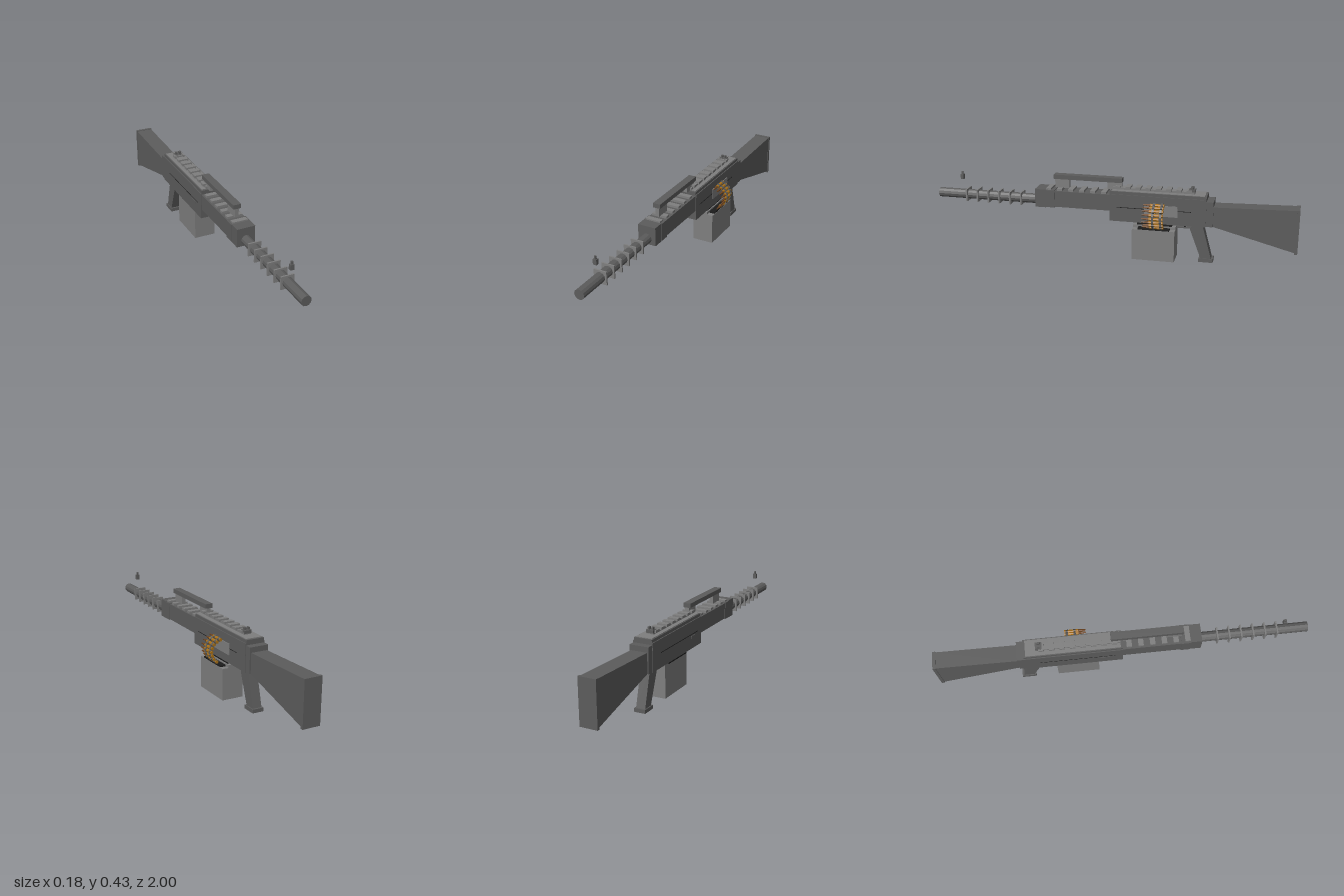
import * as THREE from 'three';

const CX = -0.035; // centre line of the body

export function createModel() {
  const root = new THREE.Group();
  root.name = 'beltFedGun';
  const material = (name, color) => {
    const m = new THREE.MeshStandardMaterial({ color, flatShading: true });
    m.name = name;
    return m;
  };
  const dark = material('darkGrey', 0x5c5c5c);
  const light = material('lightGrey', 0x7e7e7e);
  const black = material('black', 0x1c1c1c);
  const brass = material('brass', 0xa87018);
  const copper = material('copper', 0x6e4420);

  const add = (name, geo, mat, parent = root) => {
    const mesh = new THREE.Mesh(geo, mat);
    mesh.name = name;
    parent.add(mesh);
    return mesh;
  };
  // Box given by its limits on each axis
  const box = (name, mat, x0, x1, y0, y1, z0, z1, parent = root) => {
    const mesh = add(name, new THREE.BoxGeometry(x1 - x0, y1 - y0, z1 - z0), mat, parent);
    mesh.position.set((x0 + x1) / 2, (y0 + y1) / 2, (z0 + z1) / 2);
    return mesh;
  };
  // Box centred on the body's centre line
  const mid = (name, mat, w, y0, y1, z0, z1, parent = root) =>
    box(name, mat, CX - w / 2, CX + w / 2, y0, y1, z0, z1, parent);
  // Side profile given as [z, y] points, extruded across x
  const profile = (name, mat, w, pts) => {
    const shape = new THREE.Shape(pts.map(([z, y]) => new THREE.Vector2(-z, y)));
    const geo = new THREE.ExtrudeGeometry(shape, { depth: w, bevelEnabled: false });
    geo.translate(0, 0, -w / 2).rotateY(Math.PI / 2);
    const mesh = add(name, geo, mat);
    mesh.position.x = CX;
    return mesh;
  };
  const rodZ = (name, mat, r0, r1, x, y, z0, z1, sides, parent = root) => {
    const geo = new THREE.CylinderGeometry(r1, r0, z1 - z0, sides).rotateX(Math.PI / 2);
    const mesh = add(name, geo, mat, parent);
    mesh.position.set(x, y, (z0 + z1) / 2);
    return mesh;
  };

  // Barrel with square cooling fins
  rodZ('barrel', dark, 0.027, 0.027, CX, 0.285, 0.40, 1, 12);
  for (let i = 0; i < 6; i++) {
    const z = 0.51 + i * 0.064;
    mid('barrelFin', light, 0.07, 0.25, 0.32, z - 0.004, z + 0.004);
  }

  // Front sight
  mid('frontSight', dark, 0.02, 0.37, 0.398, 0.853, 0.87);
  mid('frontSightPin', dark, 0.009, 0.398, 0.414, 0.857, 0.866);

  // Handguard
  mid('handguard', dark, 0.1, 0.26, 0.349, -0.01, 0.36);
  mid('handguardCollar', dark, 0.106, 0.256, 0.352, 0.31, 0.36);
  mid('handguardNose', dark, 0.1, 0.253, 0.354, 0.36, 0.42);
  for (let i = 0; i < 6; i++) {
    const z = 0.035 + i * 0.062;
    mid('handguardRailTooth', light, 0.084, 0.347, 0.361, z - 0.014, z + 0.014);
  }

  // Carry handle
  mid('carryHandleBar', dark, 0.042, 0.41, 0.434, -0.06, 0.32);
  mid('carryHandleFrontPost', light, 0.022, 0.36, 0.411, 0.235, 0.315);
  mid('carryHandleRearPost', light, 0.022, 0.37, 0.411, -0.058, 0.02);

  // Receiver and top cover
  mid('receiver', dark, 0.11, 0.206, 0.355, -0.52, 0);
  mid('receiverRear', dark, 0.104, 0.209, 0.345, -0.557, -0.52);
  mid('topCover', dark, 0.1, 0.355, 0.371, -0.52, 0);
  mid('topCoverPlate', light, 0.09, 0.369, 0.374, -0.51, -0.01);
  mid('railBase', light, 0.04, 0.373, 0.385, -0.45, -0.01);
  for (let i = 0; i < 8; i++) {
    const z = -0.04 - i * 0.055;
    mid('railTooth', light, 0.058, 0.38, 0.394, z - 0.014, z + 0.014);
  }
  // Thin seams along both sides
  for (const s of [-1, 1]) {
    const x = CX + s * 0.055;
    box('receiverSeam', black, x - 0.001, x + 0.001, 0.283, 0.286, -0.44, -0.04);
  }
  box('chargingKnob', dark, -0.093, -0.088, 0.262, 0.276, -0.12, -0.07);
  box('feedPlate', light, 0.018, 0.024, 0.25, 0.31, -0.37, -0.19);

  // Rear sight
  mid('rearSightBase', dark, 0.04, 0.38, 0.396, -0.455, -0.42);
  for (const s of [-1, 1]) {
    const x = CX + s * 0.01;
    box('rearSightEar', dark, x - 0.005, x + 0.005, 0.395, 0.409, -0.445, -0.43);
  }

  // Stock and butt plate
  profile('stock', dark, 0.09, [[-0.555, 0.21], [-0.555, 0.317], [-0.986, 0.329], [-0.986, 0.098]]);
  mid('buttPlate', dark, 0.096, 0.091, 0.332, -1, -0.984);

  // Pistol grip and trigger
  profile('grip', dark, 0.052, [[-0.435, 0.178], [-0.45, 0.21], [-0.5, 0.21], [-0.553, 0.015], [-0.497, 0.015]]);
  mid('gripFoot', dark, 0.062, 0, 0.02, -0.562, -0.485);
  mid('triggerGuard', dark, 0.016, 0.177, 0.184, -0.45, -0.35);
  mid('trigger', black, 0.01, 0.182, 0.208, -0.408, -0.398);

  // Ammunition box and its mount
  box('ammoBox', light, -0.068, 0.052, 0.007, 0.178, -0.36, -0.13);
  box('ammoBoxLid', light, -0.068, 0.018, 0.177, 0.193, -0.36, -0.13);
  box('ammoBoxMount', black, -0.08, 0.012, 0.192, 0.207, -0.34, -0.15);
  box('ammoBoxMouth', black, 0.018, 0.05, 0.178, 0.186, -0.33, -0.16);

  // Cartridge belt hanging from the feed plate into the box
  const belt = new THREE.Group();
  belt.name = 'cartridgeBelt';
  root.add(belt);
  const path = [[0.03, 0.312], [0.05, 0.303], [0.067, 0.29], [0.077, 0.271],
    [0.081, 0.251], [0.076, 0.231], [0.067, 0.212], [0.051, 0.196]];
  path.forEach(([x, y], i) => {
    rodZ('cartridgeCase', brass, 0.0085, 0.0085, x, y, -0.3, -0.225, 8, belt);
    rodZ('cartridgeTip', copper, 0.007, 0.0025, x, y, -0.225, -0.186, 8, belt);
    const a = path[Math.max(i - 1, 0)], b = path[Math.min(i + 1, path.length - 1)];
    for (const z of [-0.287, -0.245]) {
      const link = add('beltLink', new THREE.BoxGeometry(0.018, 0.018, 0.012), dark, belt);
      link.position.set(x, y, z);
      link.rotation.z = Math.atan2(b[1] - a[1], b[0] - a[0]);
    }
  });
  return root;
}
